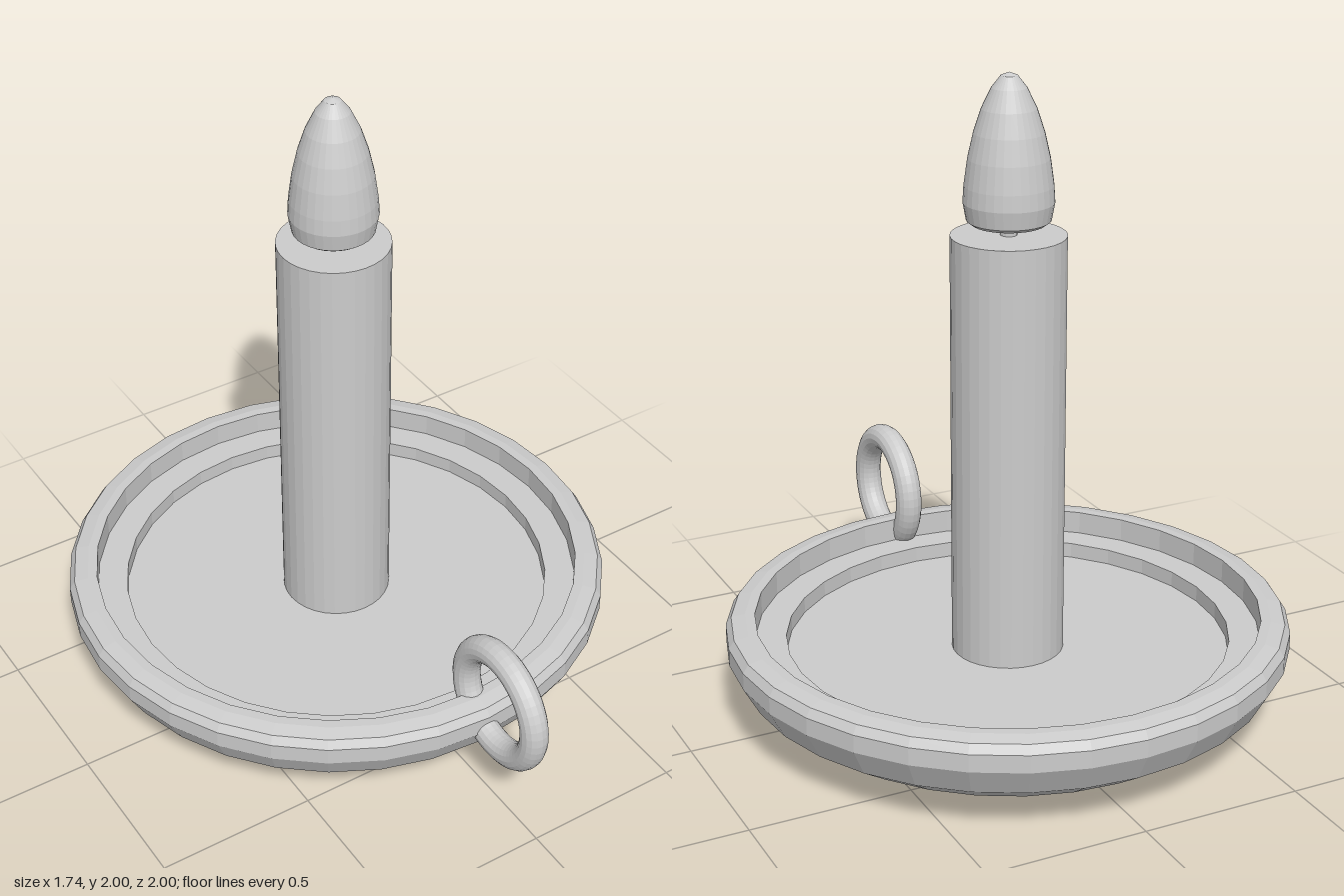
import * as THREE from 'three';

export function createModel() {
  const model = new THREE.Group();
  const material = new THREE.MeshStandardMaterial({ color: 0xcccccc, flatShading: true });
  const axisZ = -0.13; // dish, candle and flame share this axis

  const add = (name, geometry, y = 0, z = axisZ) => {
    const mesh = new THREE.Mesh(geometry, material);
    mesh.name = name;
    mesh.position.set(0, y, z);
    model.add(mesh);
    return mesh;
  };
  // Profiles run from the bottom centre, out and up, to the top centre
  const lathe = (points, sides) =>
    new THREE.LatheGeometry(points.map(([r, y]) => new THREE.Vector2(r, y)), sides);

  // Shallow dish: curved underside, rolled rim, inner ledge and floor
  add('dish', lathe([
    [0, 0], [0.3, 0.004], [0.52, 0.025], [0.71, 0.07], [0.82, 0.145],
    [0.87, 0.235], [0.87, 0.29], [0.853, 0.316], [0.81, 0.325], [0.78, 0.325],
    [0.78, 0.25], [0.685, 0.25], [0.685, 0.2], [0, 0.2],
  ], 32));

  // Candle and wick
  add('candle', new THREE.CylinderGeometry(0.173, 0.173, 1.33, 32), 0.855);
  add('wick', new THREE.CylinderGeometry(0.025, 0.025, 0.08, 16), 1.54);

  // Pointed flame
  add('flame', lathe([
    [0, 1.555], [0.11, 1.555], [0.125, 1.566], [0.135, 1.62], [0.132, 1.67],
    [0.121, 1.75], [0.104, 1.825], [0.081, 1.895], [0.052, 1.955],
    [0.025, 1.99], [0, 2],
  ], 32));

  // Finger ring, standing upright through the front of the rim
  add('ringHandle', new THREE.TorusGeometry(0.172, 0.043, 16, 48), 0.39, 0.785)
    .rotation.y = Math.PI / 2;

  return model;
}
